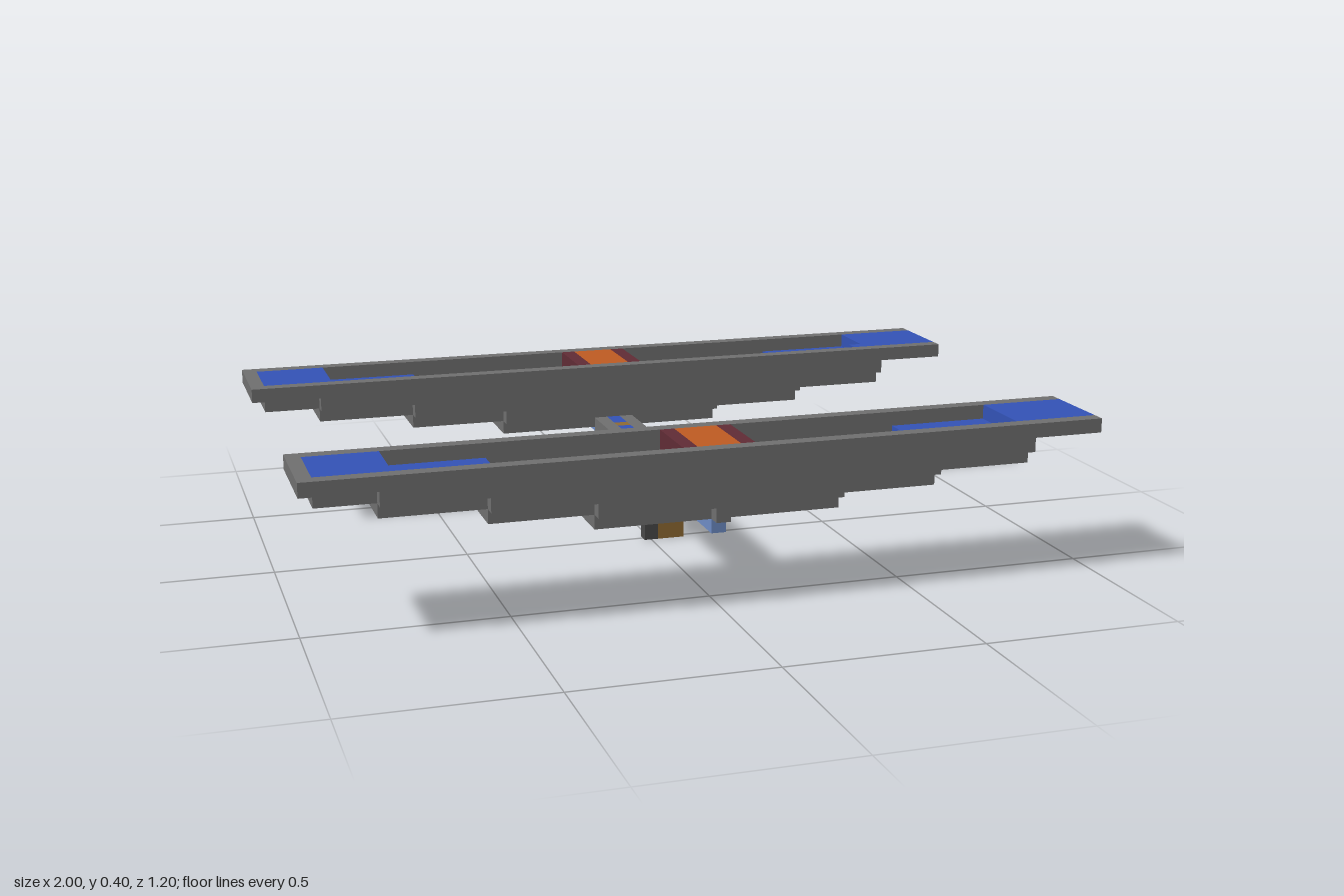
import * as THREE from 'three';

const V = 2 / 55; // size of one block

function material(name, color) {
  const m = new THREE.MeshStandardMaterial({ color });
  m.name = name;
  return m;
}

export function createModel() {
  const grey = material('hull grey', 0x707070);
  const blue = material('deep blue', 0x3353b6);
  const lightBlue = material('light blue', 0x6e8cc5);
  const orange = material('orange', 0xbf5b22);
  const darkRed = material('dark red', 0x602c35);
  const brown = material('brown', 0x8f6a33);
  const dark = material('dark grey', 0x484848);

  const model = new THREE.Group();
  model.name = 'twinHullCraft';

  // Box between two corners, measured in blocks
  function box(parent, name, mat, x0, x1, y0, y1, z0, z1) {
    const g = new THREE.BoxGeometry((x1 - x0) * V, (y1 - y0) * V, (z1 - z0) * V);
    const mesh = new THREE.Mesh(g, mat);
    mesh.position.set((x0 + x1) * V / 2, (y0 + y1) * V / 2, (z0 + z1) * V / 2);
    mesh.name = name;
    parent.add(mesh);
    return mesh;
  }

  // One stepped hull, centred on its own z axis
  function makeHull(name, z) {
    const hull = new THREE.Group();
    hull.name = name;
    hull.position.z = z * V;
    model.add(hull);

    // Side walls, one course for each layer, growing longer upwards
    const halfLengths = [0.5, 8.5, 15.5, 22.5, 27.5];
    halfLengths.forEach((h, i) => {
      for (const s of [-3, 3]) {
        box(hull, 'sideWall', grey, -h, h, 6 + i, 7 + i, s - 0.5, s + 0.5);
      }
    });
    box(hull, 'endWall', grey, -27.5, -26.5, 10, 11, -2.5, 2.5);

    // Inset bottom plates
    box(hull, 'bottomPlate', grey, -8.5, 8.5, 6, 7, -2.5, 2.5);
    const plates = [[7.5, 15.5, 7], [14.5, 22.5, 8], [21.5, 22.5, 9]];
    for (const [a, b, y] of plates) {
      box(hull, 'bottomPlateLeft', grey, a, b, y, y + 1, -2.5, 2.5);
      box(hull, 'bottomPlateRight', grey, y === 9 ? -26.5 : -b, -a, y, y + 1, -2.5, 2.5);
    }

    // Blue deck descending to the middle
    box(hull, 'middleDeck', blue, -7.5, 7.5, 7, 8, -2.5, 2.5);
    const decks = [[7.5, 14.5, 8], [14.5, 21.5, 9], [21.5, 27.5, 10]];
    for (const [a, b, y] of decks) {
      box(hull, 'deckLeft', blue, a, b, y, y + 1, -2.5, 2.5);
      box(hull, 'deckRight', blue, -Math.min(b, 26.5), -a, y, y + 1, -2.5, 2.5);
    }

    // Central seat with side cheeks
    box(hull, 'seat', orange, -1.5, 1.5, 8, 11, -2.5, 2.5);
    box(hull, 'seatCheekLeft', darkRed, 1.5, 2.5, 8, 11, -2.5, 2.5);
    box(hull, 'seatCheekRight', darkRed, -2.5, -1.5, 8, 11, -2.5, 2.5);
    return hull;
  }

  makeHull('frontHull', 13);
  const rear = makeHull('rearHull', -13);
  // Small steps in the inner corner of the rear hull
  box(rear, 'cornerStep', blue, 13.5, 14.5, 9, 10, 1.5, 2.5);
  box(rear, 'cornerStep', blue, 20.5, 21.5, 10, 11, 1.5, 2.5);

  // Bridge between the hulls
  const bridge = new THREE.Group();
  bridge.name = 'bridge';
  model.add(bridge);
  for (const s of [-1, 1]) {
    box(bridge, 'bridgeRail', grey, s - 0.5, s + 0.5, 6, 7, -9.5, 9.5);
    box(bridge, 'outerStrip', blue, -0.5, 0.5, 6, 7, s * 8.5 - 1, s * 8.5 + 1);
    box(bridge, 'innerStrip', blue, -0.5, 0.5, 6, 7, s * 3.5 - 3, s * 3.5 + 3);
    box(bridge, 'keelBeam', lightBlue, -0.5, 0.5, 5, 6, s * 8 - 7.5, s * 8 + 7.5);
  }
  for (const z of [-7, 0, 7]) {
    box(bridge, 'crossPeg', brown, -0.5, 0.5, 6, 7, z - 0.5, z + 0.5);
  }

  // Post hanging under the bridge, with a rudder blade
  box(model, 'post', dark, -0.5, 0.5, 0, 6, -0.5, 0.5);
  box(model, 'rudder', brown, 0.5, 2.5, 0, 5, -0.5, 0.5);
  return model;
}
